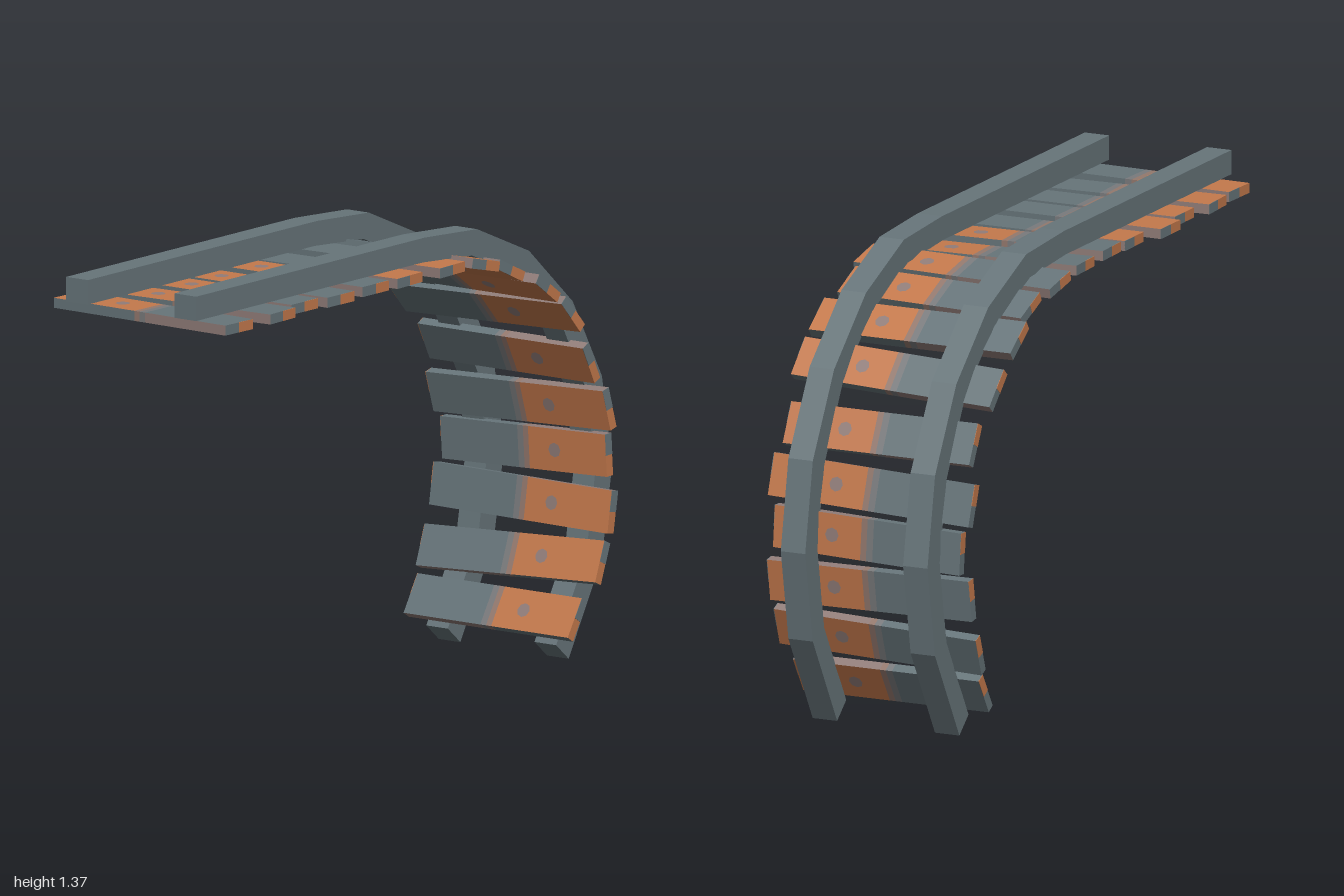
import * as THREE from 'three';

const mat = (name, color) => {
  const m = new THREE.MeshStandardMaterial({ color });
  m.name = name;
  return m;
};

export function createModel() {
  const grey = mat('slate grey', 0x67757a);
  const orange = mat('rust orange', 0xc4794c);
  const stripeGrey = mat('worn grey', 0x7a7b7d);
  const stripeTan = mat('worn tan', 0x94796e);
  const mauve = mat('edge mauve', 0x917d79);
  const model = new THREE.Group();
  model.name = 'curvedTrack';

  // Rails: side outline as [z, y], outer edge then inner edge
  const outer = [[1, 1.37], [-0.1, 1.37], [-0.35, 1.355], [-0.6, 1.25], [-0.81, 1.065],
    [-0.95, 0.82], [-1, 0.55], [-0.95, 0.275], [-0.79, 0]];
  const inner = [[1, 1.297], [-0.09, 1.297], [-0.325, 1.28], [-0.56, 1.185], [-0.75, 1.018],
    [-0.875, 0.79], [-0.92, 0.55], [-0.875, 0.3], [-0.73, 0.05]];
  const outline = [...outer, ...inner.reverse()].map(([z, y]) => new THREE.Vector2(-z, y));
  const railGeo = new THREE.ExtrudeGeometry(new THREE.Shape(outline), { depth: 0.08, bevelEnabled: false });
  railGeo.rotateY(Math.PI / 2);
  for (const [name, x] of [['rightRail', -0.24], ['leftRail', 0.16]]) {
    const rail = new THREE.Mesh(railGeo, grey);
    rail.name = name;
    rail.position.x = x;
    model.add(rail);
  }

  // One plank: painted slices along its length, a spot on both faces, two-tone ends
  const T = 0.03;
  function makePlank(length, width) {
    const g = new THREE.Group();
    const h = length / 2;
    const add = (name, geo, m, x, y, z) => {
      const mesh = new THREE.Mesh(geo, m);
      mesh.name = name;
      mesh.position.set(x, y, z);
      g.add(mesh);
      return mesh;
    };
    const slice = (name, a, b, m, front = m, back = m) =>
      add(name, new THREE.BoxGeometry(b - a, T, width), [m, m, m, m, front, back], (a + b) / 2, 0, 0);
    slice('greyHalf', -h, -0.02, grey, grey, mauve);
    slice('greyStripe', -0.02, 0.001, stripeGrey);
    slice('tanStripe', 0.001, 0.02, stripeTan);
    slice('orangeHalf', 0.02, h, orange, mauve, grey);
    const end = new THREE.BoxGeometry(0.002, T, width / 2);
    add('endPatch', end, grey, h, 0, width / 4);
    add('endPatch', end, orange, -h, 0, width / 4);
    const spot = new THREE.CircleGeometry(0.022, 8);
    for (const s of [-1, 1]) {
      add('spot', spot, mauve, 0.115, s * (T / 2 + 0.001), 0).rotation.x = -s * Math.PI / 2;
    }
    return g;
  }

  // Planks along the track: [z, y, slope in degrees, left x, right x, skew]
  const planks = [
    [0.9, 1.275, 0, -0.32, 0.33, -0.02], [0.715, 1.275, 0, -0.33, 0.33, 0.03],
    [0.55, 1.275, 0, -0.31, 0.295, 0], [0.4, 1.275, 0, -0.34, 0.315, -0.005],
    [0.217, 1.275, 0, -0.31, 0.3, 0.005], [0.07, 1.275, 0, -0.305, 0.305, 0.025],
    [-0.127, 1.275, 0, -0.315, 0.31, 0.03], [-0.295, 1.266, 13, -0.33, 0.325, -0.025],
    [-0.44, 1.222, 25, -0.305, 0.305, -0.02], [-0.575, 1.153, 35, -0.33, 0.33, 0],
    [-0.705, 1.045, 49, -0.33, 0.33, -0.03], [-0.815, 0.888, 63, -0.305, 0.305, 0],
    [-0.873, 0.733, 75, -0.33, 0.33, -0.025], [-0.9, 0.59, 88, -0.305, 0.305, -0.02],
    [-0.885, 0.437, 99, -0.33, 0.33, 0.006], [-0.837, 0.275, 114, -0.33, 0.325, -0.03],
    [-0.758, 0.128, 122, -0.31, 0.297, 0],
  ];
  planks.forEach(([z, y, slope, x0, x1, skew], i) => {
    const length = x1 - x0;
    const plank = makePlank(length, 0.127);
    plank.name = `plank${i + 1}`;
    plank.position.set((x0 + x1) / 2, y, z);
    // The first five planks are turned end for end
    const turn = i < 5 ? Math.PI : 0;
    plank.rotation.set(-THREE.MathUtils.degToRad(slope), Math.atan(skew / length) + turn, 0);
    model.add(plank);
  });
  return model;
}
